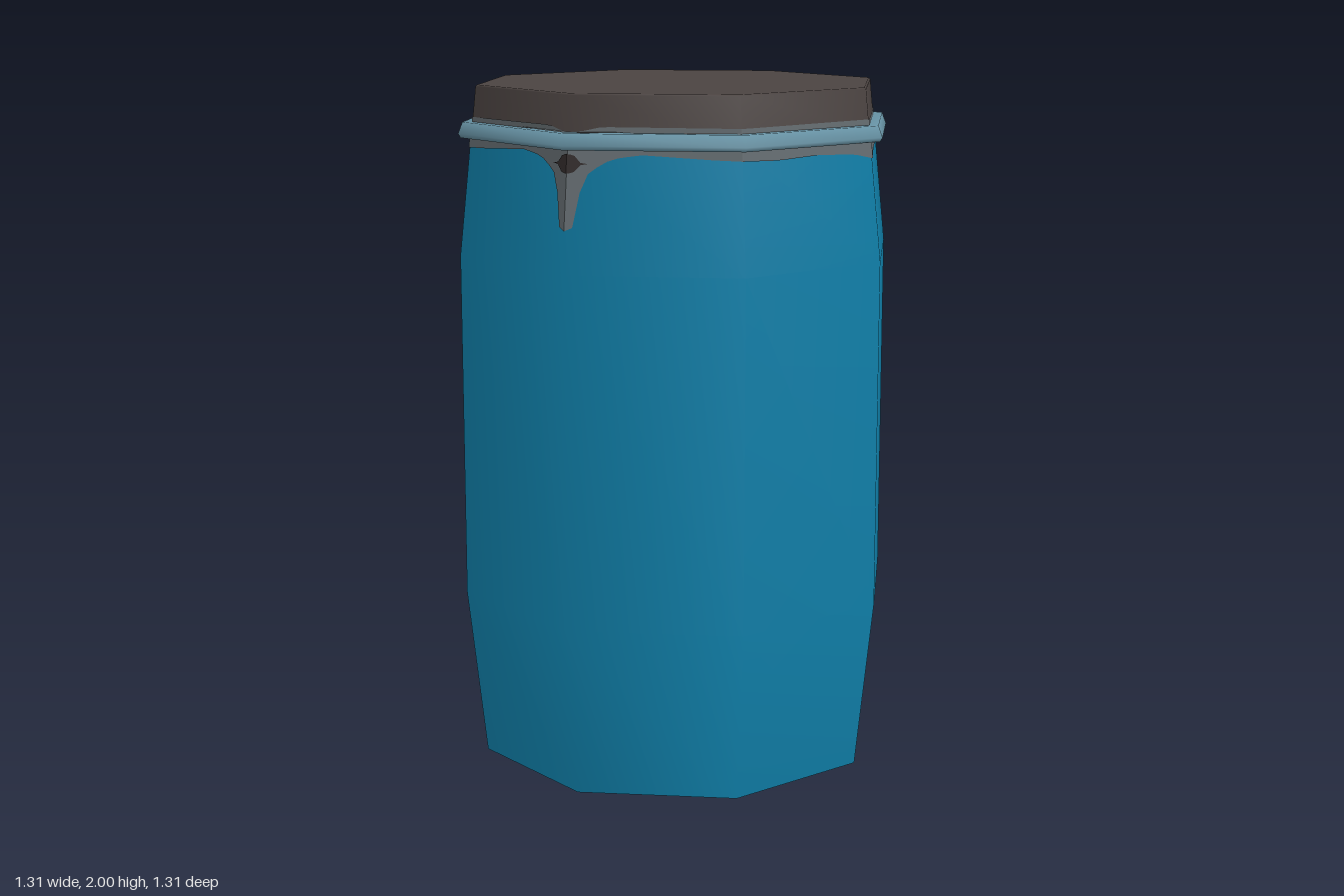
import * as THREE from 'three';

const SIDES = 8;
const material = (name, color, side = THREE.FrontSide) =>
  new THREE.MeshStandardMaterial({ name, color, side });

// Piecewise linear lookup in [input, output] pairs
function lerpTable(table, s) {
  for (let i = 1; i < table.length; i++) {
    const [s0, v0] = table[i - 1], [s1, v1] = table[i];
    if (s <= s1) return v0 + (v1 - v0) * (s - s0) / (s1 - s0);
  }
  return table[table.length - 1][1];
}

// Eight-sided turned part with corners on the x and z axes
function turned(points) {
  return new THREE.LatheGeometry(points.map(([r, y]) => new THREE.Vector2(r, y)), SIDES);
}

// Flat octagon facing up or down
function octagon(radius, y, up) {
  const g = new THREE.CircleGeometry(radius, SIDES);
  g.rotateX(up ? -Math.PI / 2 : Math.PI / 2);
  return g.translate(0, y, 0);
}

// Thin skin round the octagon; lower and upper give [radius, y] from
// s, the distance along the wall to the nearest front or back corner
function skin(lower, upper) {
  const pos = [], index = [], n = 22, edge = 0.475;
  for (let k = 0; k < SIDES; k++) {
    const a0 = k * Math.PI / 4, a1 = a0 + Math.PI / 4;
    for (let i = k ? 1 : 0; i <= n; i++) {
      const t = (1 - Math.cos(Math.PI * i / n)) / 2; // finer near corners
      const p = (k + t) % 4;
      const s = Math.min(p, 4 - p) * edge;
      const dx = Math.sin(a0) * (1 - t) + Math.sin(a1) * t;
      const dz = Math.cos(a0) * (1 - t) + Math.cos(a1) * t;
      const lo = lower(s), hi = upper(s);
      pos.push(dx * lo[0], lo[1], dz * lo[0], dx * hi[0], hi[1], dz * hi[0]);
    }
  }
  const gap = v => Math.hypot(pos[v * 3] - pos[v * 3 + 3], pos[v * 3 + 1] - pos[v * 3 + 4], pos[v * 3 + 2] - pos[v * 3 + 5]);
  for (let a = 0; a + 3 < pos.length / 3; a += 2) {
    if (gap(a) + gap(a + 2) > 1e-4) index.push(a, a + 2, a + 3, a, a + 3, a + 1);
  }
  const g = new THREE.BufferGeometry();
  g.setAttribute('position', new THREE.Float32BufferAttribute(pos, 3));
  g.setIndex(index);
  g.computeVertexNormals();
  return g;
}

export function createModel() {
  const blue = material('blue plastic', 0x1080aa);
  const steel = material('blue grey ring', 0x6691a3);
  const charcoal = material('dark lid', 0x4b4341);
  const grime = material('grey grime', 0x646c70, THREE.DoubleSide);
  const dark = material('dark spot', 0x332c2c, THREE.DoubleSide);

  const model = new THREE.Group();
  model.name = 'barrel';
  const add = (name, geometry, mat) => {
    const mesh = new THREE.Mesh(geometry, mat);
    mesh.name = name;
    model.add(mesh);
  };

  // Body, tapered at both ends; the tiny rims soften the end shading
  add('body', turned([[0.59, 0], [0.6, 0], [0.655, 0.5], [0.655, 1.51], [0.618, 1.855], [0.63, 1.855]]), blue);
  add('base', octagon(0.6, 0, false), blue);

  // Clamp ring
  add('clampRing', turned([[0.615, 1.85], [0.648, 1.85], [0.655, 1.862], [0.642, 1.895], [0.605, 1.895]]), steel);

  // Lid
  add('lidSide', turned([[0.614, 1.88], [0.602, 1.995], [0.597, 2], [0.585, 2]]), charcoal);
  add('lidTop', octagon(0.597, 2, true), charcoal);

  // Grime under the ring, running down at the front and back corners
  const wall = y => [0.655 - (y - 1.51) * 0.107 + 0.003, y];
  const edge = [[0, 1.63], [0.022, 1.64], [0.036, 1.73], [0.06, 1.79], [0.12, 1.825],
    [0.2, 1.837], [0.4, 1.825], [0.6, 1.818], [0.75, 1.824], [0.88, 1.818], [0.95, 1.803]];
  add('grimeBand', skin(s => wall(lerpTable(edge, s)), () => wall(1.852)), grime);

  // Dark spot at the head of each drip
  const spot = s => 0.026 * Math.sqrt(Math.max(0, 1 - (s / 0.038) ** 2));
  const raised = y => [wall(y)[0] + 0.003, y];
  add('dripSpots', skin(s => raised(1.812 - spot(s)), s => raised(1.812 + spot(s))), dark);

  // Grime on top of the ring and along the foot of the lid
  const ringGrime = [[0, 0.64], [0.12, 0.636], [0.24, 0.612], [1, 0.612]];
  add('ringGrime', skin(s => [lerpTable(ringGrime, s), 1.8975], () => [0.612, 1.8975]), grime);
  const lidGrime = [[0, 1.897], [0.04, 1.9], [0.09, 1.911], [0.5, 1.909], [1, 1.912]];
  add('lidGrime', skin(() => [0.6145, 1.896], s => [0.6135, lerpTable(lidGrime, s)]), grime);

  return model;
}
